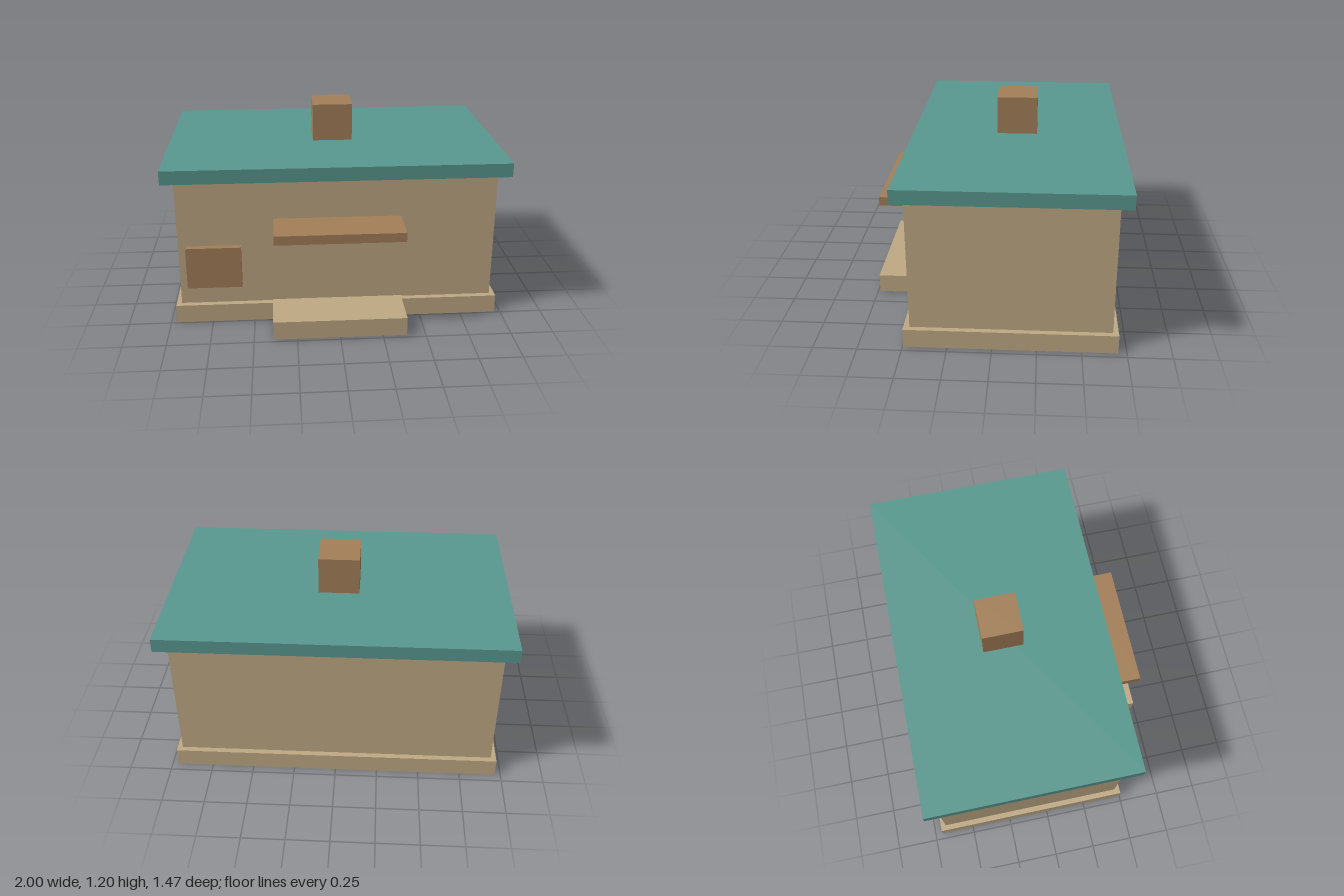
import * as THREE from 'three';

export function createModel() {
  const model = new THREE.Group();
  const paint = (color) => new THREE.MeshStandardMaterial({ color });
  const stone = paint(0xbfa884);
  const teal = paint(0x58988f);
  const wood = paint(0xa37f58);

  // Adds a box given its extents along each axis
  function block(name, material, [x0, x1], [y0, y1], [z0, z1]) {
    const mesh = new THREE.Mesh(new THREE.BoxGeometry(x1 - x0, y1 - y0, z1 - z0), material);
    mesh.position.set((x0 + x1) / 2, (y0 + y1) / 2, (z0 + z1) / 2);
    mesh.name = name;
    model.add(mesh);
  }

  // Building shell
  block('foundation', stone, [-0.965, 0.965], [0, 0.112], [-0.702, 0.495]);
  block('walls', stone, [-0.933, 0.933], [0.112, 0.892], [-0.67, 0.46]);
  block('roof', teal, [-1, 1], [0.892, 0.974], [-0.735, 0.524]);
  block('chimney', wood, [-0.12, 0.12], [0.974, 1.2], [-0.226, 0.014]);

  // Front entrance
  block('frontStep', stone, [-0.388, 0.388], [0.005, 0.117], [0.46, 0.735]);
  block('awning', wood, [-0.372, 0.372], [0.59, 0.645], [0.46, 0.709]);

  // Panel standing just clear of the front wall
  block('signBoard', wood, [-0.887, -0.566], [0.231, 0.487], [0.467, 0.504]);

  return model;
}
